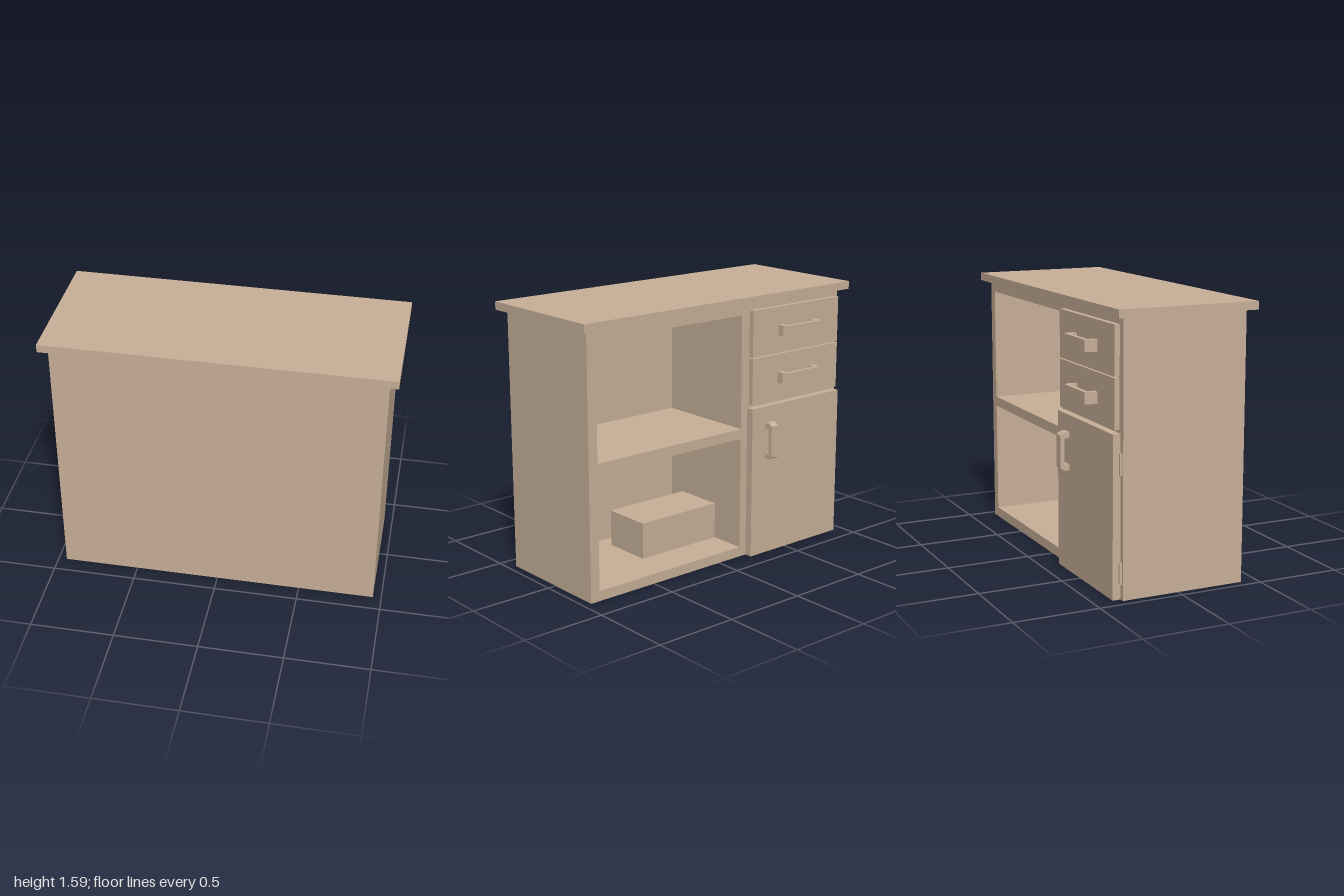
import * as THREE from 'three';

export function createModel() {
  const model = new THREE.Group();
  model.name = 'cabinet';
  const wood = new THREE.MeshStandardMaterial({ color: 0xc8b098 });
  wood.name = 'light wood';

  const add = (name, geometry) => {
    const mesh = new THREE.Mesh(geometry, wood);
    mesh.name = name;
    model.add(mesh);
    return mesh;
  };
  // Box given by its limits on each axis
  const box = (name, [x0, x1], [y0, y1], [z0, z1]) =>
    add(name, new THREE.BoxGeometry(x1 - x0, y1 - y0, z1 - z0)
      .translate((x0 + x1) / 2, (y0 + y1) / 2, (z0 + z1) / 2));
  const rectangle = (Type, x0, x1, y0, y1) => new Type([
    [x0, y0], [x1, y0], [x1, y1], [x0, y1],
  ].map(([x, y]) => new THREE.Vector2(x, y)));

  // Carcass with two open shelf bays, closed by a thick back
  const frame = rectangle(THREE.Shape, -0.95, 0.95, 0, 1.545);
  for (const [y0, y1] of [[0.06, 0.74], [0.8, 1.48]]) {
    frame.holes.push(rectangle(THREE.Path, -0.165, 0.89, y0, y1));
  }
  add('carcass', new THREE.ExtrudeGeometry(frame, { depth: 0.63, bevelEnabled: false })
    .translate(0, 0, -0.34));
  box('backPanel', [-0.95, 0.95], [0, 1.545], [0.29, 0.402]);
  box('worktop', [-1, 1], [1.545, 1.592], [-0.39, 0.447]);

  // Raised block standing in the lower bay
  box('innerBlock', [-0.17, 0.4], [0.055, 0.28], [-0.115, 0.19]);

  // Bracket handle with chamfered outer corners, profile in x and depth
  const handle = (name, length, width, depth) => {
    const h = length / 2;
    const profile = new THREE.Shape([
      [-h, 0], [-h, depth - 0.028], [-h + 0.016, depth], [h - 0.016, depth],
      [h, depth - 0.028], [h, 0], [h - 0.036, 0], [h - 0.036, depth - 0.026],
      [-h + 0.036, depth - 0.026], [-h + 0.036, 0],
    ].map(([x, y]) => new THREE.Vector2(x, y)));
    const geometry = new THREE.ExtrudeGeometry(profile, { depth: width, bevelEnabled: false })
      .translate(0, 0, -width / 2)
      .rotateX(-Math.PI / 2);
    return add(name, geometry);
  };

  // Two drawers, each with a slightly smaller box joining it to the carcass
  for (const [name, y0, y1, handleY] of [
    ['lowerDrawer', 0.942, 1.221, 1.081],
    ['upperDrawer', 1.228, 1.505, 1.365],
  ]) {
    box(name, [-0.922, -0.218], [y0, y1], [-0.379, -0.348]);
    box(name + 'Box', [-0.9, -0.24], [y0 + 0.016, y1 - 0.016], [-0.35, -0.335]);
    handle(name + 'Handle', 0.295, 0.066, 0.069).position.set(-0.567, handleY, -0.379);
  }

  // Door with upright handle and two hinges
  box('door', [-0.93, -0.21], [0.003, 0.922], [-0.391, -0.345]);
  const doorHandle = handle('doorHandle', 0.224, 0.055, 0.056);
  doorHandle.rotation.z = Math.PI / 2;
  doorHandle.position.set(-0.342, 0.713, -0.391);
  for (const y of [0.09, 0.697]) {
    box('hinge', [-0.942, -0.9], [y, y + 0.12], [-0.356, -0.339]);
  }

  return model;
}
